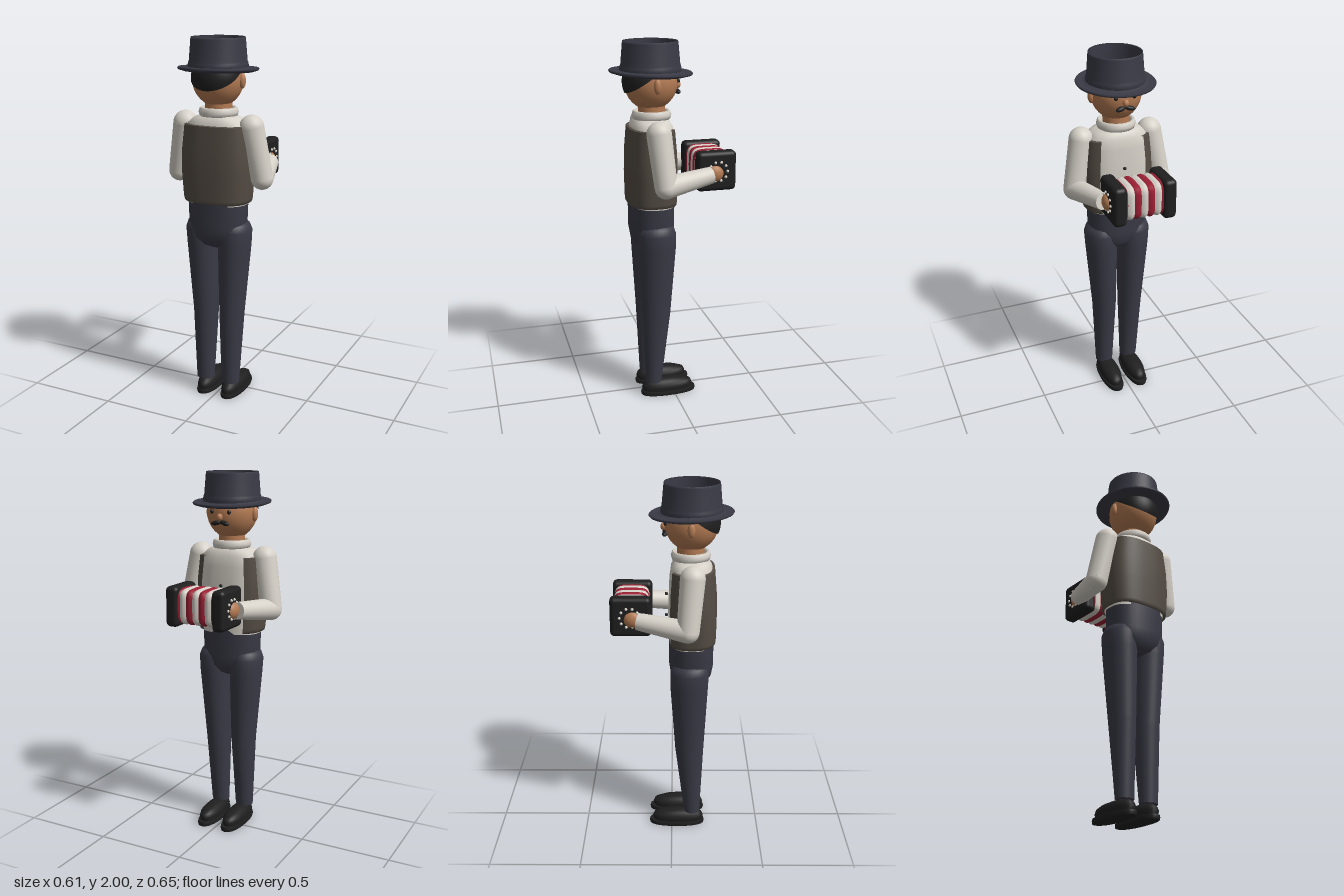
import * as THREE from 'three';
import { RoundedBoxGeometry } from 'three/addons/geometries/RoundedBoxGeometry.js';

const mat = (name, color, side = THREE.FrontSide) => {
  const m = new THREE.MeshStandardMaterial({ color, side });
  m.name = name;
  return m;
};

// Stacked superellipse rings, bottom to top; row = [y, rx, rz, cx, cz]
function loft(rows, { n = 2, seg = 32, from = 0, to = Math.PI * 2 } = {}) {
  const closed = to - from > 6.28, cols = closed ? seg : seg + 1;
  const pos = [], idx = [];
  const bend = v => Math.sign(v) * Math.pow(Math.abs(v), 2 / n);
  rows.forEach(([y, rx, rz, cx = 0, cz = 0]) => {
    for (let j = 0; j < cols; j++) {
      const a = from + (to - from) * j / seg;
      pos.push(cx + rx * bend(Math.sin(a)), y, cz + rz * bend(Math.cos(a)));
    }
  });
  for (let i = 0; i < rows.length - 1; i++) for (let j = 0; j < seg; j++) {
    const k = (j + 1) % cols, a = i * cols + j, b = i * cols + k;
    idx.push(a, b, b + cols, a, b + cols, a + cols);
  }
  const g = new THREE.BufferGeometry();
  g.setAttribute('position', new THREE.Float32BufferAttribute(pos, 3));
  g.setIndex(idx);
  g.computeVertexNormals();
  return g;
}

export function createModel() {
  const root = new THREE.Group();
  const navy = mat('navy cloth', 0x3a3a46);
  const vestCloth = mat('brown vest cloth', 0x544c44, THREE.DoubleSide);
  const white = mat('off white', 0xd6d1c8);
  const skin = mat('skin', 0xb57c54);
  const black = mat('black', 0x1f1f1f);
  const red = mat('red', 0x9c2034);

  const add = (name, geo, material, x = 0, y = 0, z = 0, parent = root) => {
    const m = new THREE.Mesh(geo, material);
    m.name = name;
    m.position.set(x, y, z);
    parent.add(m);
    return m;
  };
  const ball = (name, material, r, x, y, z, sx = 1, sy = 1, sz = 1) => {
    const m = add(name, new THREE.SphereGeometry(r, 24, 16), material, x, y, z);
    m.scale.set(sx, sy, sz);
    return m;
  };
  // Tapered limb between two points
  const limb = (name, material, a, b, ra, rb) => {
    const A = new THREE.Vector3(...a), B = new THREE.Vector3(...b), d = B.clone().sub(A);
    const m = add(name, new THREE.CylinderGeometry(rb, ra, d.length(), 24), material);
    m.position.copy(A).addScaledVector(d, 0.5);
    m.quaternion.setFromUnitVectors(new THREE.Vector3(0, 1, 0), d.normalize());
    return m;
  };

  // Torso: shirt, open vest, buttons
  add('shirt', loft([
    [1.13, 0.17, 0.118], [1.3, 0.18, 0.125], [1.5, 0.172, 0.118], [1.555, 0.165, 0.11],
    [1.585, 0.13, 0.095], [1.605, 0.08, 0.075], [1.607, 0, 0],
  ], { n: 2.5 }), white, 0, 0, 0.105);
  const gap = 0.62;
  add('vest', loft([
    [1.14, 0.172, 0.122], [1.14, 0.182, 0.132], [1.16, 0.187, 0.134], [1.3, 0.198, 0.136],
    [1.42, 0.195, 0.133], [1.55, 0.181, 0.122], [1.55, 0.181, 0.122], [1.553, 0.165, 0.108],
  ], { n: 2.6, seg: 40, from: -Math.PI + gap, to: Math.PI - gap }), vestCloth, 0, 0, 0.107);
  for (const y of [1.4, 1.28, 1.16]) ball('shirtButton', black, 0.009, 0, y, -0.029);
  add('collar', loft([
    [1.595, 0.085, 0.085], [1.595, 0.1, 0.1], [1.615, 0.106, 0.106], [1.635, 0.1, 0.1],
    [1.641, 0.092, 0.092], [1.632, 0.08, 0.08], [1.6, 0.075, 0.075],
  ]), white, 0, 0, 0.1);
  add('neck', new THREE.CylinderGeometry(0.072, 0.072, 0.12, 24), skin, 0, 1.64, 0.1);

  // Trousers
  add('pelvis', loft([
    [0.875, 0, 0], [0.88, 0.05, 0.045], [0.9, 0.1, 0.085], [0.94, 0.14, 0.112],
    [1.0, 0.16, 0.122], [1.15, 0.166, 0.122], [1.15, 0.166, 0.122], [1.15, 0, 0],
  ], { n: 2.3 }), navy, 0, 0, 0.107);

  for (const s of [-1, 1]) {
    const side = s > 0 ? 'left' : 'right';
    add(side + 'Leg', loft([
      [0.085, 0, 0, 0.078, 0.117], [0.085, 0.051, 0.045, 0.078, 0.117], [0.085, 0.051, 0.045, 0.078, 0.117],
      [0.5, 0.068, 0.08, 0.08, 0.1], [0.9, 0.089, 0.104, 0.094, 0.096], [0.98, 0.092, 0.105, 0.096, 0.098],
      [1.015, 0.08, 0.095, 0.095, 0.1], [1.04, 0.045, 0.06, 0.095, 0.1], [1.045, 0, 0, 0.095, 0.1],
    ].map(([y, rx, rz, cx, cz]) => [y, rx, rz, s * cx, cz])), navy);

    // Shoe: flat sole with a rounded upper
    add(side + 'Sole', loft([
      [0, 0, 0], [0, 0.057, 0.157], [0, 0.057, 0.157], [0.012, 0.06, 0.16],
      [0.024, 0.057, 0.157], [0.024, 0.057, 0.157], [0.024, 0, 0],
    ], { n: 2.3 }), black, s * 0.075, 0, 0.03);
    add(side + 'ShoeUpper', loft([
      [0.02, 0.052, 0.14], [0.045, 0.056, 0.147], [0.065, 0.052, 0.138], [0.08, 0.04, 0.11, 0, 0.01],
      [0.089, 0.02, 0.06, 0, 0.03], [0.091, 0, 0, 0, 0.03],
    ], { n: 2.2 }), black, s * 0.075, 0, 0.037);

    // Arm and hand
    const shoulder = [s * 0.195, 1.545, 0.108], elbow = [s * 0.247, 1.275, 0.085], wrist = [s * 0.178, 1.307, -0.178];
    ball(side + 'Shoulder', white, 0.066, ...shoulder);
    limb(side + 'UpperArm', white, shoulder, elbow, 0.066, 0.06);
    ball(side + 'Elbow', white, 0.06, ...elbow);
    limb(side + 'Forearm', white, elbow, wrist, 0.06, 0.046);
    ball(side + 'Hand', skin, 0.05, s * 0.16, 1.312, -0.205, 0.7, 0.95, 1);

    // Concertina end with a ring of keys
    add(side + 'ConcertinaEnd', new RoundedBoxGeometry(0.073, 0.215, 0.217, 4, 0.024), black, s * 0.137, 1.322, -0.217);
    for (let i = 0; i < 10; i++) {
      const a = i / 10 * Math.PI * 2;
      ball('key', white, 0.008, s * 0.174, 1.322 + 0.052 * Math.sin(a), -0.222 + 0.052 * Math.cos(a));
    }

    // Side features of the face
    ball(side + 'Ear', skin, 0.04, s * 0.137, 1.78, 0.1, 0.45, 1, 0.5);
    ball(side + 'Eye', black, 0.011, s * 0.05, 1.795, -0.032);
    const brow = ball(side + 'Eyebrow', black, 0.028, s * 0.052, 1.826, -0.027, 1, 0.32, 0.35);
    brow.rotation.set(0, s * 0.35, -s * 0.15);
    const whisker = ball(side + 'Moustache', black, 0.03, s * 0.024, 1.737, -0.034, 1, 0.42, 0.5);
    whisker.rotation.set(0, s * 0.25, -s * 0.2);
  }

  // Bellows pleats between the concertina ends
  const bellows = new THREE.Group();
  bellows.name = 'bellows';
  bellows.position.set(0, 1.322, -0.217);
  bellows.rotation.z = Math.PI / 2;
  root.add(bellows);
  const w = 0.0185;
  for (let i = -3; i <= 3; i++) {
    add('pleat', loft([
      [-w, 0.089, 0.089], [-0.006, 0.096, 0.096], [0.006, 0.096, 0.096], [w, 0.089, 0.089],
    ], { n: 4.5 }), i % 2 ? red : white, 0, i * w * 2, 0, bellows);
  }

  // Head, hair and nose
  ball('head', skin, 0.15, 0, 1.79, 0.103, 0.91, 1, 0.96);
  const hair = add('hair', new THREE.SphereGeometry(0.152, 32, 20, 0, Math.PI * 2, 0, 1.33), black, 0, 1.79, 0.105);
  hair.rotation.x = 0.62;
  hair.scale.set(0.92, 1, 0.98);
  ball('nose', skin, 0.018, 0, 1.768, -0.042, 0.9, 1.1, 1);

  // Open-topped hat
  const brim = add('hatBrim', loft([
    [-0.008, 0.135, 0.135], [-0.014, 0.18, 0.185], [-0.005, 0.207, 0.218], [0.003, 0.211, 0.223],
    [0.009, 0.206, 0.217], [0.002, 0.18, 0.187], [0.008, 0.16, 0.16], [0.02, 0.145, 0.145],
  ], { seg: 40 }), navy, 0, 1.838, 0.102);
  brim.rotation.x = -0.045;
  add('hatCrown', loft([
    [1.84, 0.152, 0.16], [1.853, 0.158, 0.164], [1.87, 0.155, 0.161], [1.88, 0.151, 0.157],
    [1.99, 0.142, 0.147], [2.0, 0.14, 0.145], [1.995, 0.135, 0.14], [1.88, 0.138, 0.146], [1.83, 0.14, 0.148],
  ], { seg: 40 }), navy, 0, 0, 0.104);

  return root;
}
